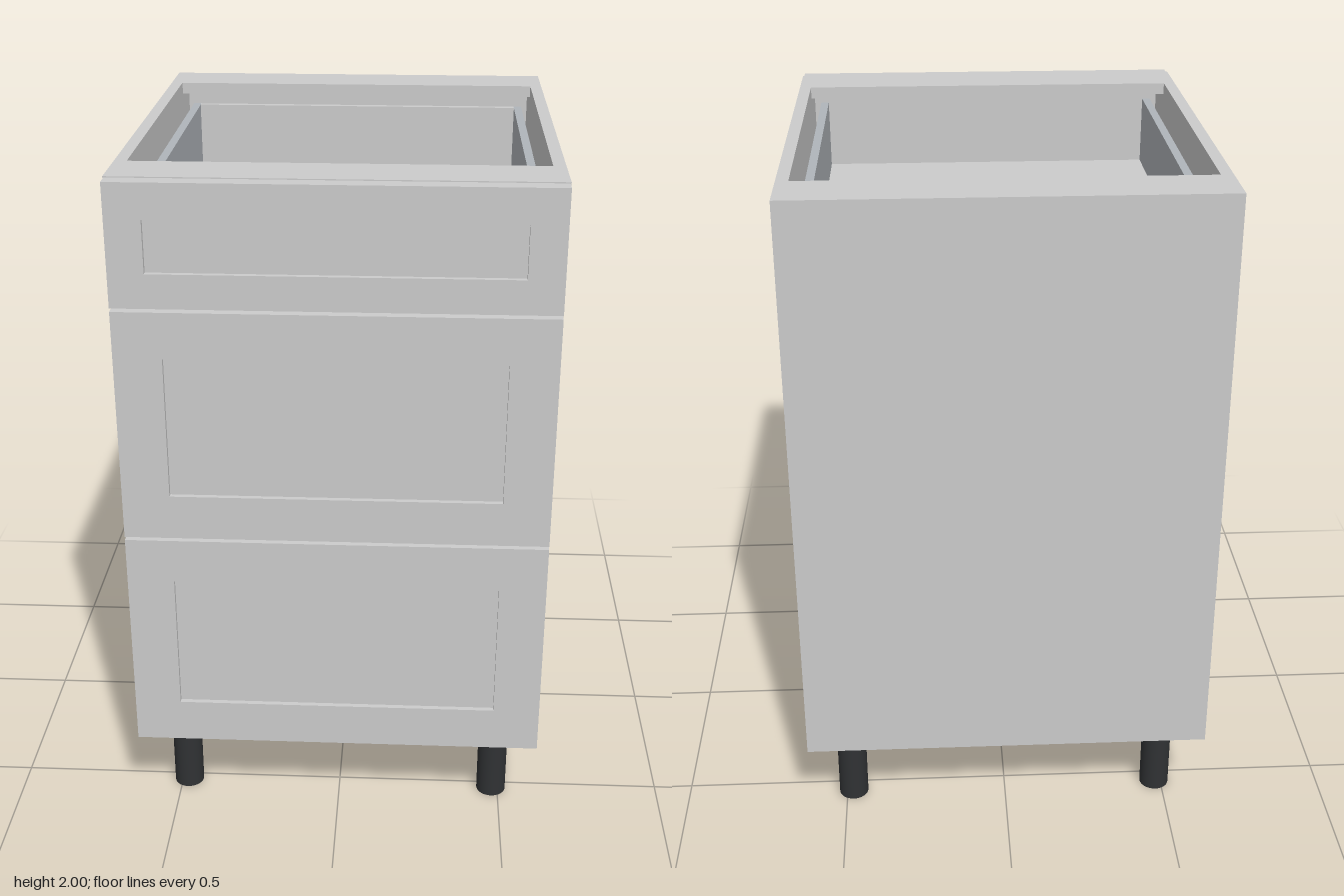
import * as THREE from 'three';

const grey = new THREE.MeshStandardMaterial({ color: 0xcccccc });
const metal = new THREE.MeshStandardMaterial({ color: 0xb0b5ba });
const black = new THREE.MeshStandardMaterial({ color: 0x303234 });

// Box given by its minimum and maximum corners
function box(name, [x0, y0, z0], [x1, y1, z1], material = grey) {
  const mesh = new THREE.Mesh(new THREE.BoxGeometry(x1 - x0, y1 - y0, z1 - z0), material);
  mesh.position.set((x0 + x1) / 2, (y0 + y1) / 2, (z0 + z1) / 2);
  mesh.name = name;
  return mesh;
}

function rectangle(Type, x, y0, y1) {
  return new Type([[-x, y0], [x, y0], [x, y1], [-x, y1]].map(p => new THREE.Vector2(...p)));
}

const W = 0.605, IN = 0.57, BOTTOM = 0.27, TOP = 2, BACK = -0.69, FRONT = 0.645, FACE = 0.69, T = 0.035;

// Framed drawer front with a sunken centre panel
function drawerFront({ y0, y1, px, p0, p1 }) {
  const group = new THREE.Group();
  group.name = 'drawerFront';
  const recess = 0.015;
  const shape = rectangle(THREE.Shape, 0.602, y0, y1);
  shape.holes.push(rectangle(THREE.Path, px, p0, p1));
  const frame = new THREE.Mesh(
    new THREE.ExtrudeGeometry(shape, { depth: FACE - FRONT, bevelEnabled: false }), grey);
  frame.position.z = FRONT;
  frame.name = 'frontFrame';
  group.add(frame, box('frontPanel', [-px, p0, FRONT], [px, p1, FACE - recess]));
  return group;
}

// Open drawer box with metal sides
function drawerBox({ d0, d1 }) {
  const group = new THREE.Group();
  group.name = 'drawerBox';
  const xi = 0.525, xo = 0.55, zb = -0.63, zi = -0.61;
  group.add(
    box('drawerFloor', [-xi, d0, zi], [xi, d0 + 0.03, FRONT]),
    box('drawerBack', [-xi, d0, zb], [xi, d1, zi]));
  for (const s of [-1, 1]) {
    const x = [s * xi, s * xo].sort((a, b) => a - b);
    group.add(box('drawerSide', [x[0], d0, zb], [x[1], d1, FRONT], metal));
  }
  return group;
}

export function createModel() {
  const model = new THREE.Group();
  model.name = 'drawerCabinet';

  // Carcass, with two rails in place of a full top
  model.add(
    box('leftSide', [IN, BOTTOM, BACK], [W, TOP, FRONT]),
    box('rightSide', [-W, BOTTOM, BACK], [-IN, TOP, FRONT]),
    box('bottomPanel', [-IN, BOTTOM, BACK], [IN, BOTTOM + T, FRONT]),
    box('backPanel', [-IN, BOTTOM + T, BACK], [IN, TOP - T, BACK + 0.03]),
    box('backRail', [-IN, TOP - T, BACK], [IN, TOP, -0.525]),
    box('frontRail', [-IN, TOP - T, 0.485], [IN, TOP, FRONT]));

  // Drawers: front extents, recessed panel, box extents
  const drawers = [
    { y0: 1.653, y1: 1.997, px: 0.503, p0: 1.75, p1: 1.898, d0: 1.67, d1: 1.91 },
    { y0: 0.963, y1: 1.643, px: 0.467, p0: 1.095, p1: 1.51, d0: 1.0, d1: 1.4 },
    { y0: 0.273, y1: 0.953, px: 0.467, p0: 0.405, p1: 0.82, d0: 0.33, d1: 0.73 },
  ];
  for (const d of drawers) {
    const drawer = new THREE.Group();
    drawer.name = 'drawer';
    drawer.add(drawerFront(d), drawerBox(d));
    model.add(drawer);
  }

  // Round feet
  const legGeometry = new THREE.CylinderGeometry(0.045, 0.045, BOTTOM, 32);
  for (const x of [-0.48, 0.48]) {
    for (const z of [-0.543, 0.524]) {
      const leg = new THREE.Mesh(legGeometry, black);
      leg.position.set(x, BOTTOM / 2, z);
      leg.name = 'leg';
      model.add(leg);
    }
  }
  return model;
}
